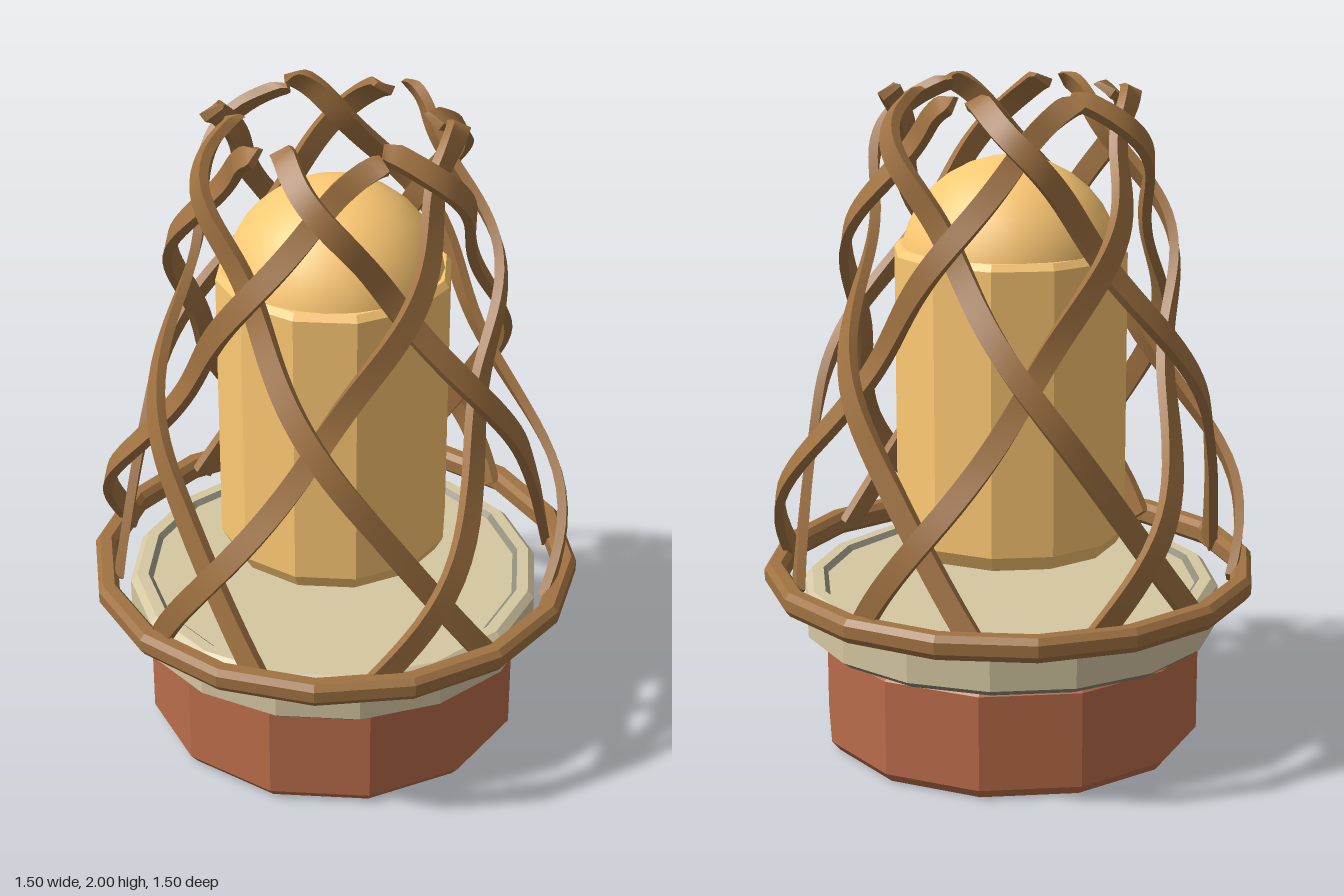
import * as THREE from 'three';

const mat = (color, flat = true) => new THREE.MeshStandardMaterial({ color, flatShading: flat });
const v2 = (p) => p.map(([x, y]) => new THREE.Vector2(x, y));

function lathe(name, points, sides, material, turn = 0) {
  const mesh = new THREE.Mesh(new THREE.LatheGeometry(v2(points), sides), material);
  mesh.name = name;
  mesh.rotation.y = turn;
  return mesh;
}

// Cage silhouette: radius along the strand
const cageRadius = new THREE.SplineCurve(v2([
  [0, 0.675], [0.12, 0.655], [0.24, 0.585], [0.36, 0.515], [0.48, 0.465],
  [0.6, 0.425], [0.72, 0.39], [0.84, 0.355], [1, 0.315],
]));
const TOP = 2;
const TWIST = THREE.MathUtils.degToRad(132);
const THICK = 0.014, WIDE = 0.033, WEAVE = 0.038;

function profile(t) {
  return { r: cageRadius.getPoint(t).y, y: 0.52 + 1.465 * (1 - Math.pow(1 - t, 1.5)) };
}

// Point on a strand; dir is +1 or -1, and the two sets weave over and under
function strandPoint(t, start, dir) {
  const { r, y } = profile(t);
  const a = start + dir * TWIST * t;
  const rr = r + dir * WEAVE * Math.sin(6 * TWIST * t);
  return new THREE.Vector3(rr * Math.sin(a), y, rr * Math.cos(a));
}

// Flat ribbon with a rectangular section that lies on the cage surface, trimmed level at the top
function strandGeometry(start, dir, segments = 48) {
  const rings = [];
  for (let i = 0; i <= segments; i++) {
    const t = i / segments, t0 = Math.max(0, t - 0.01), t1 = Math.min(1, t + 0.01);
    const p = strandPoint(t, start, dir);
    const T = strandPoint(t1, start, dir).sub(strandPoint(t0, start, dir)).normalize();
    const a = start + dir * TWIST * t, p0 = profile(t0), p1 = profile(t1);
    const dr = p1.r - p0.r, dy = p1.y - p0.y;
    const N = new THREE.Vector3(dy * Math.sin(a), -dr, dy * Math.cos(a));
    N.addScaledVector(T, -N.dot(T)).normalize();
    const W = new THREE.Vector3().crossVectors(T, N);
    rings.push([[1, -1], [1, 1], [-1, 1], [-1, -1]].map(([n, w]) => {
      const corner = p.clone().addScaledVector(N, n * THICK).addScaledVector(W, w * WIDE);
      corner.y = Math.min(corner.y, TOP);
      return corner;
    }));
  }
  const pos = [], index = [];
  // Four sides, each with its own vertices so the long edges stay sharp
  for (let k = 0; k < 4; k++) {
    const base = pos.length / 3;
    rings.forEach((ring) => pos.push(...ring[k].toArray(), ...ring[(k + 1) % 4].toArray()));
    for (let i = 0; i < segments; i++) {
      const a = base + 2 * i;
      index.push(a, a + 1, a + 3, a, a + 3, a + 2);
    }
  }
  // End caps
  for (const ring of [[...rings[0]].reverse(), rings[segments]]) {
    const b = pos.length / 3;
    ring.forEach((c) => pos.push(...c.toArray()));
    index.push(b, b + 1, b + 2, b, b + 2, b + 3);
  }
  const g = new THREE.BufferGeometry();
  g.setAttribute('position', new THREE.Float32BufferAttribute(pos, 3));
  g.setIndex(index);
  g.computeVertexNormals();
  return g;
}

export function createModel() {
  const model = new THREE.Group();
  model.name = 'cagedLantern';
  const clay = mat(0xba6c4a), stone = mat(0xd5c7a2), grey = mat(0x8f8c7a);
  const amber = mat(0xffca74), amberSmooth = mat(0xffca74, false);
  const wood = mat(0xa17342), woodSmooth = mat(0xa17342, false);

  // Base drum
  model.add(lathe('baseDrum', [[0, 0], [0.555, 0], [0.58, 0.03], [0.58, 0.32], [0.555, 0.345], [0, 0.345]], 12, clay));

  // Plate with a grey lower edge and a slightly sunken top
  const half = Math.PI / 16;
  model.add(lathe('plateLowerEdge', [[0, 0.34], [0.61, 0.34], [0.634, 0.36], [0, 0.36]], 16, grey, half));
  model.add(lathe('plate', [[0, 0.36], [0.635, 0.36], [0.635, 0.48], [0.615, 0.5], [0.58, 0.5]], 16, stone, half));
  model.add(lathe('plateGroove', [[0.58, 0.5], [0.565, 0.485]], 16, grey, half));
  model.add(lathe('plateTop', [[0.565, 0.485], [0, 0.485]], 16, stone, half));

  // Glowing column with a domed top
  model.add(lathe('lampColumn', [[0, 0.615], [0.325, 0.615], [0.35, 0.66], [0.35, 1.51], [0.335, 1.53], [0, 1.53]], 12, amber));
  const dome = new THREE.Mesh(new THREE.SphereGeometry(0.33, 24, 8, 0, Math.PI * 2, 0, Math.PI / 2), amberSmooth);
  dome.name = 'lampDome';
  dome.position.y = 1.46;
  model.add(dome);

  // Rim hoop
  model.add(lathe('rimHoop', [
    [0.685, 0.5], [0.7, 0.485], [0.735, 0.485], [0.75, 0.505], [0.75, 0.54],
    [0.735, 0.558], [0.7, 0.558], [0.685, 0.54], [0.685, 0.5],
  ], 16, wood));

  // Woven cage: six strands each way
  const cage = new THREE.Group();
  cage.name = 'wovenCage';
  for (const dir of [1, -1]) {
    const offset = dir > 0 ? -Math.PI / 6 : 0;
    for (let i = 0; i < 6; i++) {
      const strand = new THREE.Mesh(strandGeometry(offset + i * Math.PI / 3, dir), woodSmooth);
      strand.name = dir > 0 ? 'leftwardStrand' : 'rightwardStrand';
      cage.add(strand);
    }
  }
  model.add(cage);
  return model;
}
